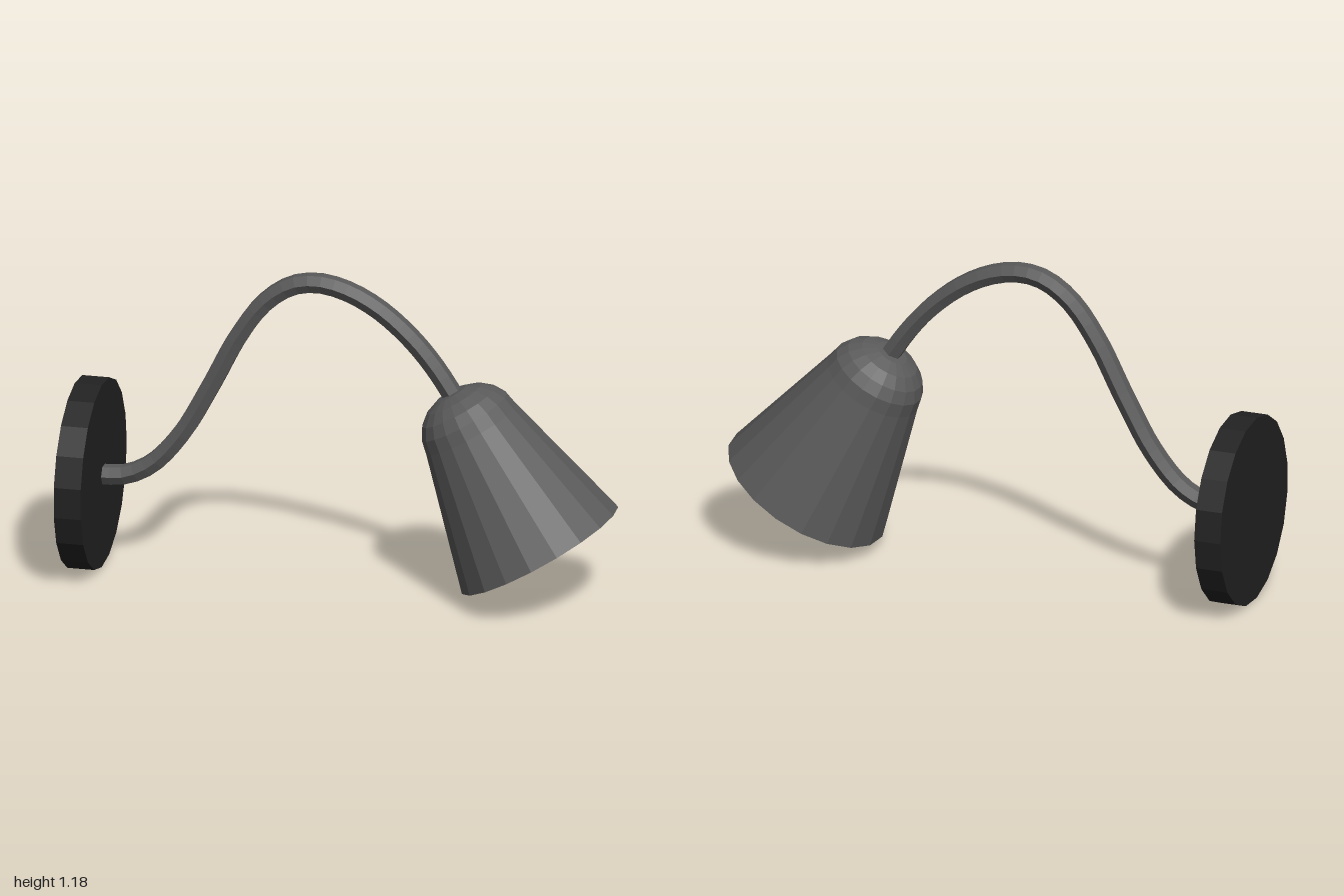
import * as THREE from 'three';

const SIDES = 19;

function material(color) {
  return new THREE.MeshStandardMaterial({ color, flatShading: true });
}

function addPart(parent, name, geometry, mat) {
  const mesh = new THREE.Mesh(geometry, mat);
  mesh.name = name;
  parent.add(mesh);
  return mesh;
}

// Faceted disc with a corner pointing to -z
function disc(radius, thickness) {
  return new THREE.CylinderGeometry(radius, radius, thickness, SIDES, 1, false, Math.PI);
}

export function createModel() {
  const lamp = new THREE.Group();
  lamp.name = 'wallLamp';
  const black = material(0x222222);
  const grey = material(0x5a5a5a);
  const glow = material(0xdbe0b8);

  // Round wall plate
  const plate = addPart(lamp, 'wallPlate', disc(0.35, 0.1), black);
  plate.rotation.z = -Math.PI / 2;
  plate.position.set(-0.95, 0.35, 0);

  // Curved six-sided arm from the plate to the shade
  const path = new THREE.CatmullRomCurve3([
    [-0.92, 0.348], [-0.82, 0.355], [-0.72, 0.405], [-0.61, 0.53], [-0.5, 0.725],
    [-0.4, 0.92], [-0.3, 1.06], [-0.2, 1.132], [-0.107, 1.15], [0, 1.13],
    [0.12, 1.07], [0.24, 0.97], [0.33, 0.865], [0.41, 0.745],
  ].map(([x, y]) => new THREE.Vector3(x, y, 0)));
  addPart(lamp, 'arm', new THREE.TubeGeometry(path, 40, 0.038, 6), grey);

  // Tilted head: origin at the centre of the rim, y along its axis
  const head = new THREE.Group();
  head.name = 'lampHead';
  head.position.set(0.72, 0.2, 0);
  head.rotation.z = Math.PI / 6;
  lamp.add(head);

  // Closed conical shade with a domed top
  const profile = [
    [0, 0], [0.324, 0], [0.187, 0.51], [0.177, 0.56], [0.152, 0.602],
    [0.112, 0.636], [0.06, 0.657], [0, 0.663],
  ].map(([r, y]) => new THREE.Vector2(r, y));
  addPart(head, 'shade', new THREE.LatheGeometry(profile, SIDES, Math.PI), grey);

  // Pale light panel, just proud of the rim
  const panel = addPart(head, 'lightPanel', disc(0.252, 0.02), glow);
  panel.position.y = 0.005;

  return lamp;
}
